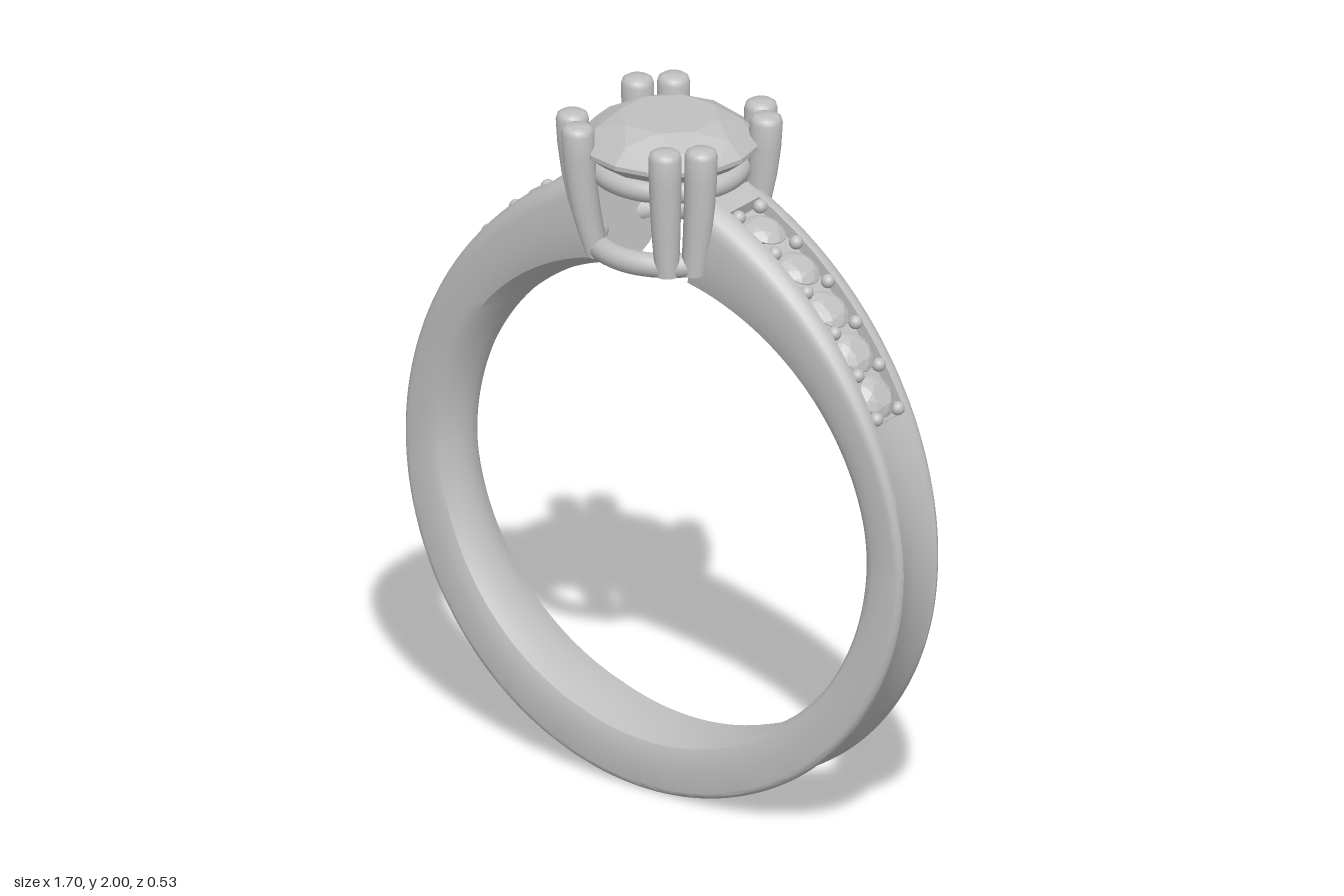
import * as THREE from 'three';
import { toCreasedNormals } from 'three/addons/utils/BufferGeometryUtils.js';
import { ConvexGeometry } from 'three/addons/geometries/ConvexGeometry.js';

const RAD = Math.PI / 180;
const CY = 0.85;                       // centre height of the band
const POCKET = [29, 75];               // elevation range of the stone channel
const clamp01 = (v) => Math.min(1, Math.max(0, v));
const outerRadius = (e) => 0.852 + 0.12 * Math.max(0, (e - 10) / 67) ** 2;

// Cross-section of the band at elevation e (degrees), as a closed [z, r] loop
function section(e) {
  const s = Math.sin(e * RAD);
  const w = s > 0 ? 0.096 + 0.041 * s ** 1.3 : 0.096 + 0.021 * s * s;
  const ro = outerRadius(e);
  const ri = 0.691 - 0.009 * s;
  const edge = ri + 0.008 + 0.037 * clamp01((e + 70) / 70);
  const T = ro - edge;
  const c = 0.02 + 0.04 * clamp01(s) ** 2;
  const dip = 0.014 * Math.cos(e * RAD) ** 2;
  const depth = e > POCKET[0] && e < POCKET[1] ? 0.035 : 0;
  const half = [0, 0.3, 0.6, 0.9].map((k) => [w * k, ri + (edge - ri) * (k / 0.9) ** 2]);
  half.push(
    [w * 0.965, edge + 0.15 * T], [w, edge + 0.4 * T], [w, ro - c],
    [w - 0.08 * c, ro - 0.6 * c], [w - 0.3 * c, ro - 0.3 * c], [w - 0.6 * c, ro - 0.08 * c], [w - c, ro],
    [0.067, ro - dip * 0.4], [0.067, ro - dip * 0.4 - depth], [0, ro - dip - depth]);
  const other = half.slice(1, -1).reverse().map(([z, r]) => [-z, r]);
  return half.concat(other);
}

// Open band swept from one side of the setting, under, to the other side
function bandGeometry() {
  const end = 78.5, start = -180 - end, angles = [];
  for (let i = 0; i <= 168; i++) angles.push(start + (end - start) * i / 168);
  for (const p of POCKET) {
    for (const d of [-0.01, 0.01]) angles.push(p + d, -180 - p + d);
  }
  angles.sort((a, b) => a - b);
  const rings = angles.map((a) => section(a > -90 ? a : -180 - a).map(([z, r]) =>
    [r * Math.cos(a * RAD), CY + r * Math.sin(a * RAD), z]));
  const n = rings[0].length, index = [];
  for (let i = 0; i < rings.length - 1; i++) {
    for (let j = 0; j < n; j++) {
      const k = (j + 1) % n;
      const A = i * n + j, B = i * n + k, C = B + n, D = A + n;
      index.push(A, B, C, A, C, D);
    }
  }
  const last = (rings.length - 1) * n;
  for (let j = 1; j < n - 1; j++) {
    index.push(0, j + 1, j, last, last + j, last + j + 1);
  }
  const geo = new THREE.BufferGeometry();
  geo.setAttribute('position', new THREE.Float32BufferAttribute(rings.flat(2), 3));
  geo.setIndex(index);
  return toCreasedNormals(geo, 35 * RAD);
}

// Round brilliant cut, girdle radius 0.25, girdle at y = 0
function brilliantGeometry() {
  const pts = [new THREE.Vector3(0, -0.2, 0)];
  const ring = (n, r, y, turn) => {
    for (let i = 0; i < n; i++) {
      const a = (i + turn) / n * Math.PI * 2;
      pts.push(new THREE.Vector3(r * Math.cos(a), y, r * Math.sin(a)));
    }
  };
  ring(8, 0.14, 0.075, 0.5);
  ring(8, 0.205, 0.045, 0);
  ring(16, 0.25, 0.005, 0);
  ring(16, 0.25, -0.008, 0);
  return new ConvexGeometry(pts);
}

// Upright prong with a softly rounded tip, bent inwards towards its foot
function prongGeometry(top, foot) {
  const profile = [[0, 1.6], [0.034, 1.6], [0.036, 1.66], [0.04, 1.74], [0.043, 1.82], [0.045, 1.9],
    [0.046, 1.975], [0.042, 1.99], [0.032, 1.997], [0, 2]];
  const geo = toCreasedNormals(
    new THREE.LatheGeometry(profile.map(([r, y]) => new THREE.Vector2(r, y)), 20), 50 * RAD);
  const p = geo.attributes.position;
  for (let i = 0; i < p.count; i++) {
    const t = clamp01((2 - p.getY(i)) / 0.4) ** 2;
    p.setX(i, p.getX(i) + top[0] + (foot[0] - top[0]) * t);
    p.setZ(i, p.getZ(i) + top[1] + (foot[1] - top[1]) * t);
  }
  return geo;
}

export function createModel() {
  const model = new THREE.Group();
  model.name = 'ring';
  const metal = new THREE.MeshStandardMaterial({ color: 0xc0c0c0 });
  metal.name = 'silver grey';
  const add = (parent, name, geo) => {
    const mesh = new THREE.Mesh(geo, metal);
    mesh.name = name;
    parent.add(mesh);
    return mesh;
  };

  // Band with its two rows of small stones
  const shank = new THREE.Group();
  shank.name = 'shank';
  shank.position.z = -0.0125;
  model.add(shank);
  add(shank, 'band', bandGeometry());

  const brilliant = brilliantGeometry();
  const bead = new THREE.SphereGeometry(0.02, 14, 10);
  for (const side of [1, -1]) {
    const row = new THREE.Group();
    row.name = side > 0 ? 'leftStones' : 'rightStones';
    shank.add(row);
    const place = (mesh, e, r, z) => {
      mesh.position.set(side * r * Math.cos(e * RAD), CY + r * Math.sin(e * RAD), z);
      mesh.rotation.z = side * (e - 90) * RAD;
    };
    for (let i = 0; i < 5; i++) {
      const e = 34 + 9 * i;
      const stone = add(row, 'smallStone', brilliant);
      stone.scale.setScalar(0.25);
      place(stone, e, outerRadius(e) - 0.018, 0);
    }
    for (let i = 0; i < 6; i++) {
      const e = 30.3 + 8.7 * i;
      for (const z of [-0.049, 0.049]) place(add(row, 'bead', bead), e, outerRadius(e) - 0.009, z);
    }
  }

  // Setting: two rings and eight prongs in pairs
  const setting = new THREE.Group();
  setting.name = 'setting';
  model.add(setting);
  for (const [name, y, r, tube] of [['baseRing', 1.627, 0.205, 0.034], ['upperRing', 1.843, 0.195, 0.032]]) {
    const hoop = add(setting, name, new THREE.TorusGeometry(r, tube, 16, 64));
    hoop.rotation.x = Math.PI / 2;
    hoop.position.y = y;
  }
  for (const sx of [1, -1]) {
    for (const sz of [1, -1]) {
      add(setting, 'prong', prongGeometry([sx * 0.15, sz * 0.221], [sx * 0.118, sz * 0.168]));
      add(setting, 'prong', prongGeometry([sx * 0.221, sz * 0.15], [sx * 0.168, sz * 0.118]));
    }
  }

  // Centre stone
  add(model, 'centreStone', brilliant).position.y = 1.918;
  return model;
}
